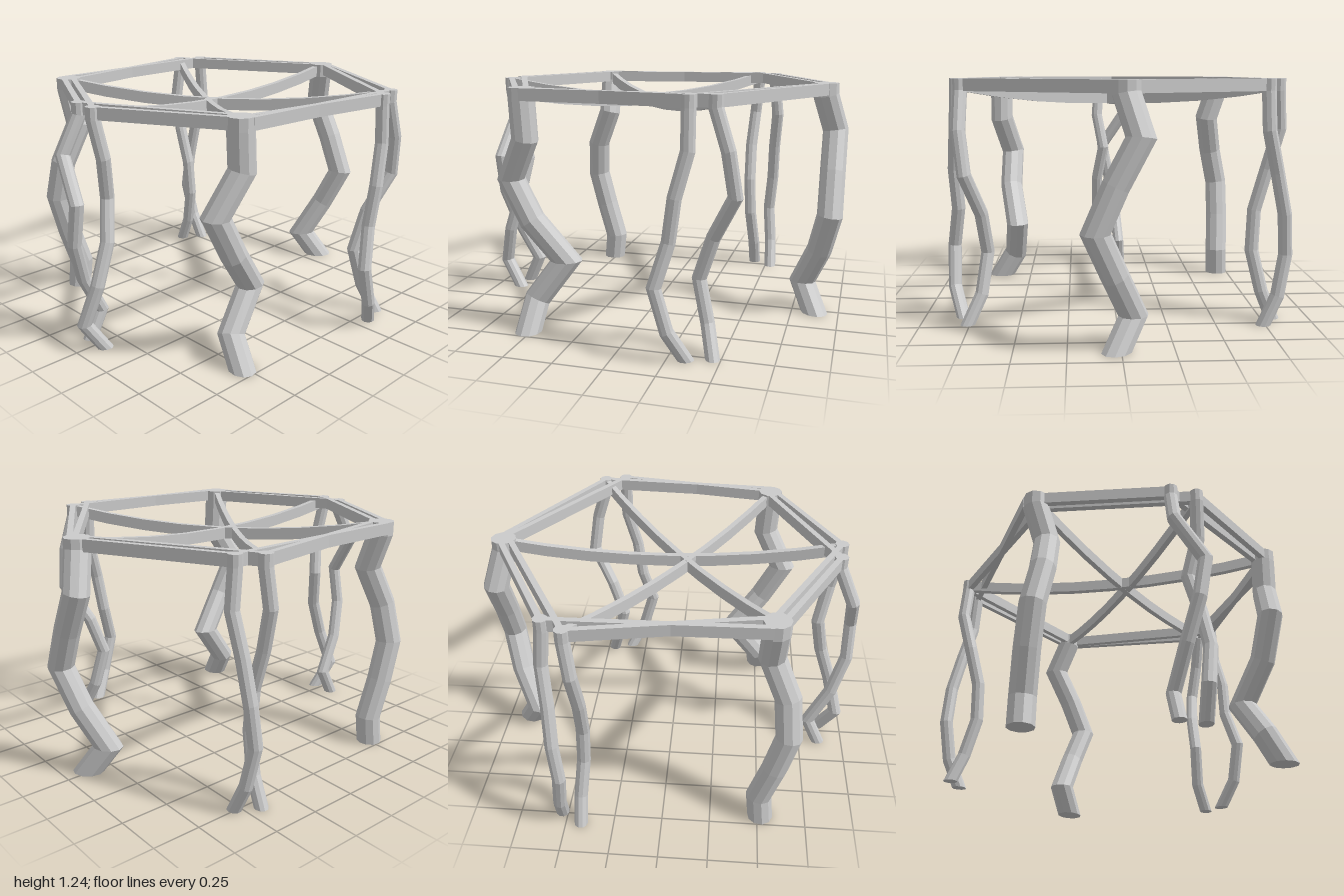
import * as THREE from 'three';

const TOP = 1.24, BEAM = 0.06;
const LEVELS = [0.99, 0.78, 0.57, 0.36, 0.15, 0];
const material = new THREE.MeshStandardMaterial({ color: 0xcccccc, flatShading: true });

// Crooked post: a constant section swept down the joints with mitred corners
function legGeometry(joints, radius, sides = 10) {
  const rings = [];
  let ring = [];
  for (let j = 0; j < sides; j++) {
    const a = (j + 0.5) / sides * Math.PI * 2;
    ring.push(joints[0].clone().add(new THREE.Vector3(Math.cos(a) * radius, 0, Math.sin(a) * radius)));
  }
  rings.push(ring);
  const dir = i => joints[i + 1].clone().sub(joints[i]).normalize();
  for (let i = 1; i < joints.length; i++) {
    const d = dir(i - 1);
    const n = i < joints.length - 1 ? d.clone().add(dir(i)) : new THREE.Vector3(0, 1, 0);
    const c = joints[i];
    ring = ring.map(p => p.clone().addScaledVector(d, c.clone().sub(p).dot(n) / d.dot(n)));
    rings.push(ring);
  }
  const pos = [];
  const tri = (...pts) => pts.forEach(p => pos.push(p.x, p.y, p.z));
  const last = rings.length - 1;
  for (let j = 0; j < sides; j++) {
    const k = (j + 1) % sides;
    for (let i = 0; i < last; i++) {
      const a = rings[i][j], b = rings[i][k], c = rings[i + 1][k], d = rings[i + 1][j];
      tri(a, b, d);
      tri(b, c, d);
    }
    tri(joints[0], rings[0][k], rings[0][j]);
    tri(joints[last], rings[last][j], rings[last][k]);
  }
  const geo = new THREE.BufferGeometry();
  geo.setAttribute('position', new THREE.Float32BufferAttribute(pos, 3));
  geo.computeVertexNormals();
  return geo;
}

// Flat bar between two [x, z] points, optionally sagging in the middle
function beamGeometry([x0, z0], [x1, z1], sag = 0) {
  const len = Math.hypot(x1 - x0, z1 - z0);
  const geo = new THREE.BoxGeometry(len, BEAM, 0.03, sag ? 8 : 1, 1, 1);
  const p = geo.attributes.position;
  for (let i = 0; i < p.count; i++) {
    const t = p.getX(i) / (len / 2);
    p.setY(i, p.getY(i) - sag * (1 - t * t));
  }
  geo.rotateY(-Math.atan2(z1 - z0, x1 - x0));
  geo.translate((x0 + x1) / 2, TOP - BEAM / 2, (z0 + z1) / 2);
  geo.computeVertexNormals();
  return geo;
}

// Each leg: top [x, z], then [x, z] at every level going down
const THICK = {
  backLeg: [[-0.02, -0.88], [-0.08, -0.935], [0.03, -0.935], [0.12, -0.935], [0.03, -0.885], [-0.06, -0.795], [0.02, -0.87]],
  frontRightLeg: [[-0.67, 0.515], [-0.605, 0.51], [-0.645, 0.6], [-0.69, 0.62], [-0.69, 0.565], [-0.68, 0.5], [-0.685, 0.515]],
  frontLeftLeg: [[0.66, 0.515], [0.66, 0.505], [0.605, 0.615], [0.61, 0.505], [0.565, 0.345], [0.59, 0.5], [0.68, 0.515]],
};
const THIN = {
  frontTwinRight: [[-0.08, 0.85], [-0.11, 0.935], [0.03, 0.965], [-0.01, 0.965], [-0.05, 0.9], [-0.07, 0.79], [-0.08, 0.86]],
  frontTwinLeft: [[0.055, 0.865], [0.07, 0.83], [0.03, 0.79], [0.07, 0.83], [0.07, 0.9], [0.02, 0.955], [0.05, 0.86]],
  rightTwinBack: [[-0.735, -0.53], [-0.74, -0.55], [-0.79, -0.53], [-0.835, -0.52], [-0.85, -0.5], [-0.81, -0.52], [-0.74, -0.53]],
  rightTwinFront: [[-0.81, -0.42], [-0.825, -0.4], [-0.77, -0.385], [-0.71, -0.39], [-0.7, -0.4], [-0.75, -0.42], [-0.81, -0.42]],
  leftTwinBack: [[0.765, -0.46], [0.77, -0.52], [0.745, -0.55], [0.68, -0.44], [0.66, -0.37], [0.69, -0.42], [0.76, -0.46]],
  leftTwinFront: [[0.8, -0.345], [0.81, -0.345], [0.83, -0.29], [0.82, -0.26], [0.855, -0.2], [0.85, -0.26], [0.8, -0.34]],
};

export function createModel() {
  const group = new THREE.Group();
  const add = (name, geo) => {
    const mesh = new THREE.Mesh(geo, material);
    mesh.name = name;
    group.add(mesh);
  };

  // Legs with a short upright head inside the ring
  for (const [set, radius] of [[THICK, 0.066], [THIN, 0.035]]) {
    for (const [name, path] of Object.entries(set)) {
      const [x, z] = path[0];
      const joints = [new THREE.Vector3(x, TOP, z), new THREE.Vector3(x, TOP - BEAM, z)];
      path.slice(1).forEach(([px, pz], i) => joints.push(new THREE.Vector3(px, LEVELS[i], pz)));
      add(name, legGeometry(joints, radius));
    }
  }

  // Rim: every thick leg is tied to both posts of the neighbouring twins
  const head = name => THIN[name][0];
  const rim = [
    [[-0.03, -0.9], 'rightTwinBack'], [[-0.02, -0.85], 'rightTwinFront'],
    [[0.01, -0.9], 'leftTwinBack'], [[0.01, -0.87], 'leftTwinFront'],
    [[-0.72, 0.5], 'rightTwinBack'], [[-0.645, 0.5], 'rightTwinFront'],
    [[0.71, 0.5], 'leftTwinBack'], [[0.67, 0.5], 'leftTwinFront'],
    [[-0.66, 0.55], 'frontTwinRight'], [[-0.65, 0.5], 'frontTwinLeft'],
    [[0.64, 0.5], 'frontTwinRight'], [[0.65, 0.55], 'frontTwinLeft'],
  ];
  for (const [from, to] of rim) add('rimBeam', beamGeometry(from, head(to)));

  // Three sagging bars crossing in the middle
  for (const [leg, twin] of [['backLeg', 'frontTwinLeft'], ['frontRightLeg', 'leftTwinBack'], ['frontLeftLeg', 'rightTwinFront']]) {
    add('crossBeam', beamGeometry(THICK[leg][0], head(twin), 0.08));
  }
  return group;
}
